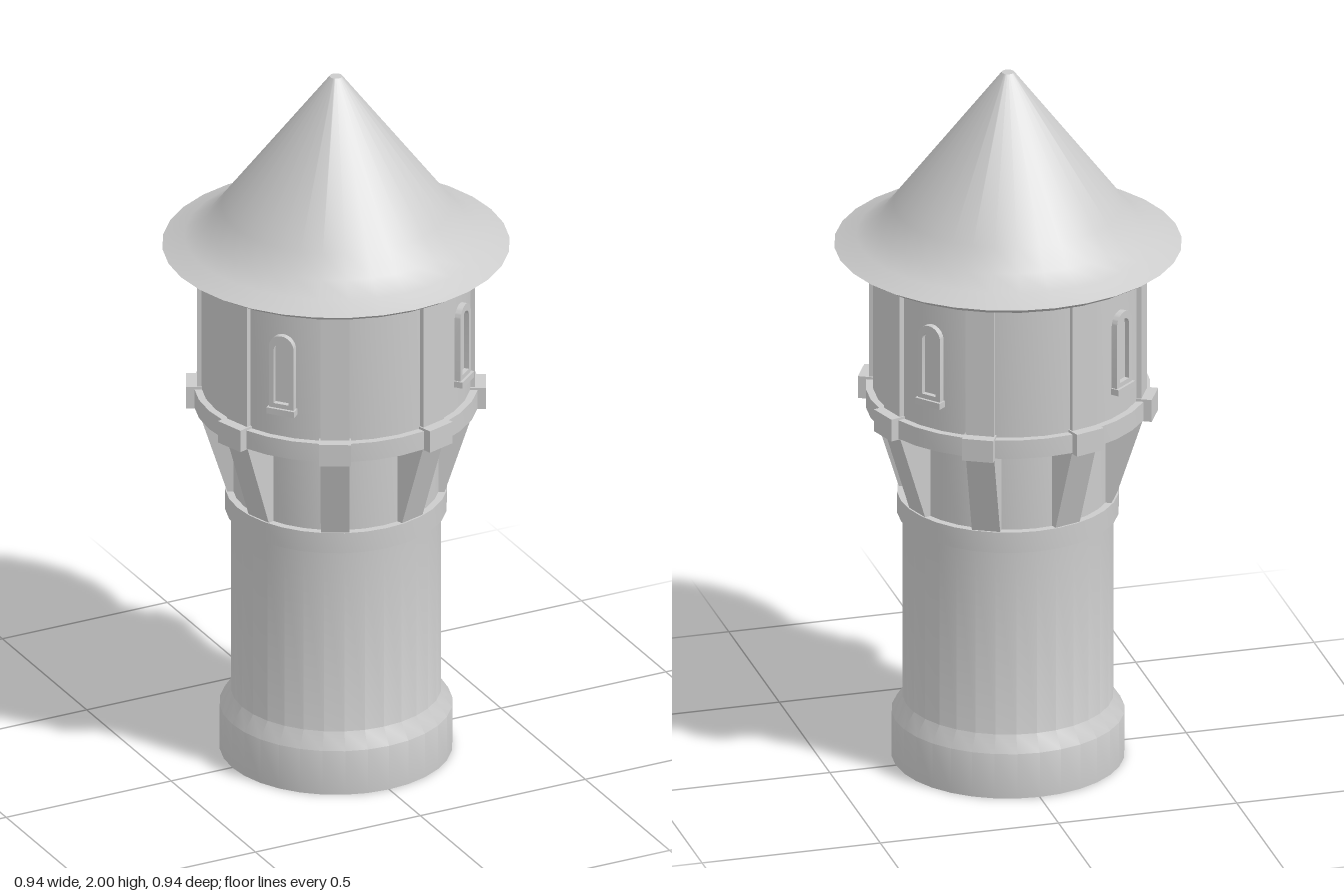
import * as THREE from 'three';
import { toCreasedNormals } from 'three/addons/utils/BufferGeometryUtils.js';

const SEGMENTS = 32;
const TWIST = THREE.MathUtils.degToRad(-5); // upper storey is turned slightly

export function createModel() {
  const tower = new THREE.Group();
  tower.name = 'tower';
  const solid = new THREE.MeshStandardMaterial({ color: 0xcccccc });
  const shell = new THREE.MeshStandardMaterial({ color: 0xcccccc, side: THREE.DoubleSide });

  const add = (parent, name, geometry, material = solid) => {
    const mesh = new THREE.Mesh(geometry, material);
    mesh.name = name;
    parent.add(mesh);
    return mesh;
  };
  // Round wall from [radius, height] pairs, listed from bottom to top
  const turned = (name, profile) => {
    const points = profile.map(([r, y]) => new THREE.Vector2(r, y));
    const geometry = toCreasedNormals(new THREE.LatheGeometry(points, SEGMENTS), 0.6);
    return add(tower, name, geometry, shell);
  };
  const shapeOf = (pairs) => new THREE.Shape(pairs.map(([x, y]) => new THREE.Vector2(x, y)));
  // Upright opening with a round head, centred on x = 0
  const arch = (PathType, half, bottom, spring) => {
    const path = new PathType();
    path.moveTo(-half, bottom);
    path.lineTo(half, bottom);
    path.lineTo(half, spring);
    path.absarc(0, spring, half, 0, Math.PI, false);
    path.lineTo(-half, bottom);
    return path;
  };

  // Round masonry, open underneath
  turned('shaft', [[0.315, 0], [0.315, 0.13], [0.285, 0.175], [0.285, 0.715]]);
  turned('collar', [[0.28, 0.715], [0.3, 0.715], [0.3, 0.775], [0.275, 0.775]]);
  turned('corbelWall', [[0.28, 0.77], [0.28, 1.03]]);
  turned('upperDrum', [[0.28, 1.03], [0.365, 1.03], [0.365, 1.485]]);
  turned('beltCourse', [[0.36, 1.028], [0.385, 1.028], [0.385, 1.082], [0.36, 1.082]]);

  // Flared conical roof with a small flat tip
  turned('roof', [
    [0.3, 1.48], [0.438, 1.48], [0.47, 1.5], [0.41, 1.525], [0.354, 1.558],
    [0.31, 1.615], [0.017, 2], [0, 2],
  ]);

  // Eight ribs: sloping bracket, belt block and pilaster
  const ribWidth = 0.078;
  const bracketGeometry = new THREE.ExtrudeGeometry(
    shapeOf([[0.25, 0.774], [0.293, 0.774], [0.376, 1.03], [0.25, 1.03]]),
    { depth: ribWidth, bevelEnabled: false },
  );
  bracketGeometry.translate(0, 0, -ribWidth / 2).rotateY(-Math.PI / 2);
  const blockGeometry = new THREE.BoxGeometry(0.086, 0.064, 0.06).translate(0, 1.057, 0.375);
  const pilasterGeometry = new THREE.BoxGeometry(ribWidth, 0.4, 0.035).translate(0, 1.283, 0.358);
  for (let i = 0; i < 8; i++) {
    const rib = new THREE.Group();
    rib.name = 'rib';
    rib.rotation.y = TWIST + ((i + 0.5) * Math.PI) / 4;
    add(rib, 'bracket', bracketGeometry);
    add(rib, 'beltBlock', blockGeometry);
    add(rib, 'pilaster', pilasterGeometry);
    tower.add(rib);
  }

  // Four arched windows, each a raised frame with a pane and a sill
  const frameShape = arch(THREE.Shape, 0.036, 1.165, 1.352);
  frameShape.holes.push(arch(THREE.Path, 0.022, 1.185, 1.345));
  const frameGeometry = toCreasedNormals(
    new THREE.ExtrudeGeometry(frameShape, { depth: 0.03, bevelEnabled: false, curveSegments: 10 }), 0.6,
  ).translate(0, 0, 0.35);
  const paneGeometry = new THREE.ShapeGeometry(arch(THREE.Shape, 0.023, 1.183, 1.345), 10).translate(0, 0, 0.366);
  const sillGeometry = new THREE.BoxGeometry(0.08, 0.018, 0.035).translate(0, 1.163, 0.37);
  for (let i = 0; i < 4; i++) {
    const window = new THREE.Group();
    window.name = 'window';
    window.rotation.y = TWIST + ((i + 0.5) * Math.PI) / 2;
    add(window, 'windowFrame', frameGeometry);
    add(window, 'windowPane', paneGeometry);
    add(window, 'windowSill', sillGeometry);
    tower.add(window);
  }

  return tower;
}
